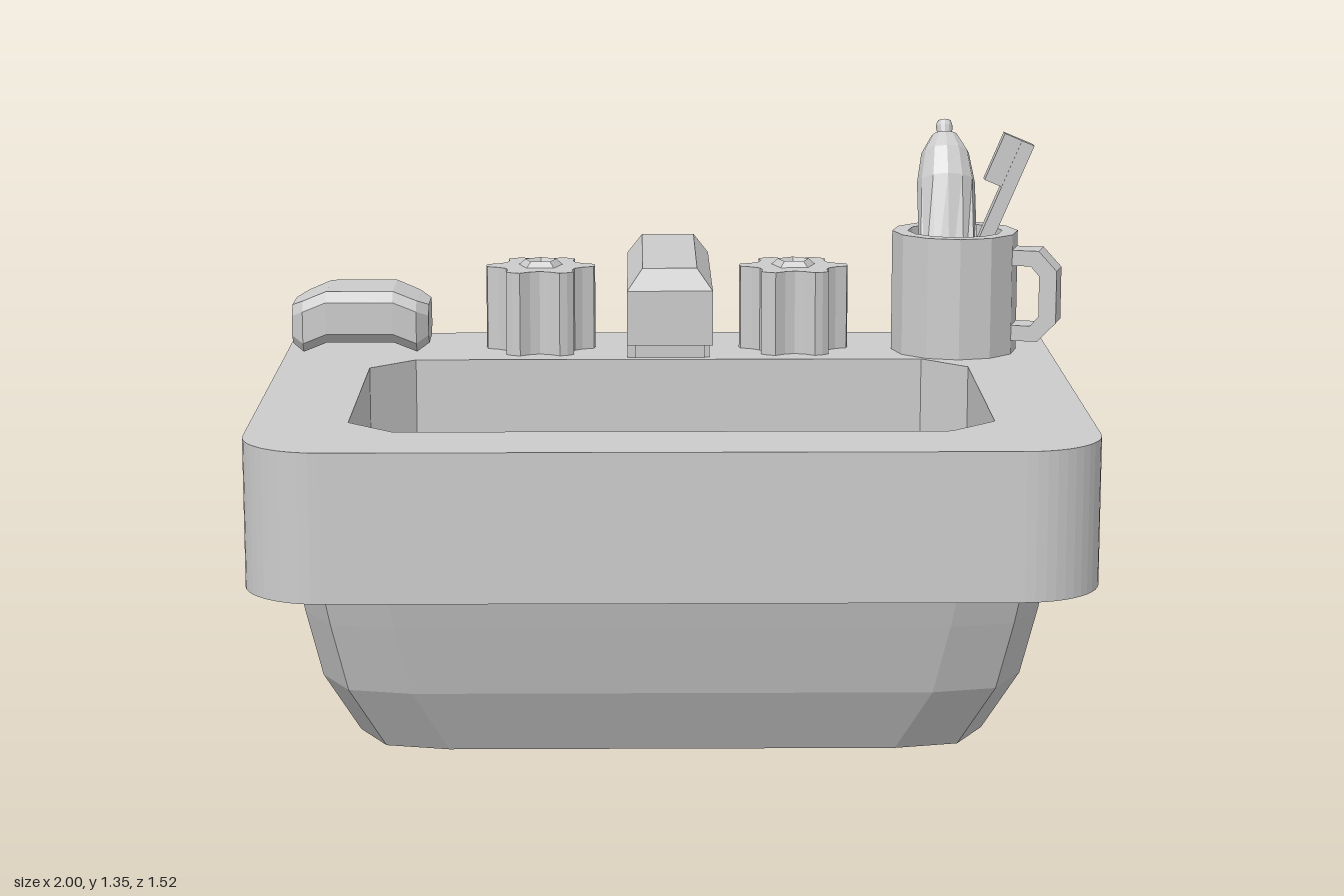
import * as THREE from 'three';
import { ConvexGeometry } from 'three/addons/geometries/ConvexGeometry.js';

const CX = -0.015; // centre line of the sink
const material = new THREE.MeshStandardMaterial({ color: 0xcccccc, flatShading: true, side: THREE.DoubleSide });

function add(parent, name, geometry, x = 0, y = 0, z = 0) {
  const mesh = new THREE.Mesh(geometry, material);
  mesh.name = name;
  mesh.position.set(x, y, z);
  parent.add(mesh);
  return mesh;
}

// Skin a list of equal-length rings of [x, y, z]; caps are fans.
function loft(rings, capStart = true, capEnd = true) {
  const out = [];
  const n = rings[0].length;
  for (let r = 0; r < rings.length - 1; r++) {
    for (let i = 0; i < n; i++) {
      const j = (i + 1) % n;
      const [a, b, c, d] = [rings[r][i], rings[r][j], rings[r + 1][j], rings[r + 1][i]];
      out.push(...a, ...b, ...c, ...a, ...c, ...d);
    }
  }
  const first = rings[0], last = rings[rings.length - 1];
  for (let i = 1; i < n - 1; i++) {
    if (capStart) out.push(...first[0], ...first[i + 1], ...first[i]);
    if (capEnd) out.push(...last[0], ...last[i], ...last[i + 1]);
  }
  const g = new THREE.BufferGeometry();
  g.setAttribute('position', new THREE.Float32BufferAttribute(out, 3));
  g.computeVertexNormals();
  return g;
}

const polygon = (pts) => pts.map(([x, y]) => new THREE.Vector2(x, y));

// Extrude a plan drawn as (x, -z) upward from y = 0.
function extrudeUp(shape, depth, curveSegments = 6) {
  return new THREE.ExtrudeGeometry(shape, { depth, bevelEnabled: false, curveSegments }).rotateX(-Math.PI / 2);
}

// Rectangle with cut corners, plan (x, -z).
const cutRect = (x0, x1, z0, z1, c) => [
  [x0 + c, -z1], [x1 - c, -z1], [x1, -z1 + c], [x1, -z0 - c],
  [x1 - c, -z0], [x0 + c, -z0], [x0, -z0 - c], [x0, -z1 + c]];

function addBasin(root) {
  // Thick rim: square at the back, rounded at the front, with the bowl opening
  const rim = new THREE.Shape();
  const r = 0.19;
  rim.moveTo(-1, 0.76);
  rim.lineTo(-1, -0.76 + r);
  rim.absarc(-1 + r, -0.76 + r, r, Math.PI, 1.5 * Math.PI);
  rim.absarc(0.97 - r, -0.76 + r, r, 1.5 * Math.PI, 2 * Math.PI);
  rim.lineTo(0.97, 0.76);
  rim.closePath();
  const opening = cutRect(-0.77, 0.74, -0.37, 0.53, 0.11);
  rim.holes.push(new THREE.Path(polygon(opening)));
  add(root, 'rim', extrudeUp(rim, 0.35), 0, 0.42, 0);

  // Inside of the bowl, sloping to a flat floor
  const ring = (pts, y) => pts.map(([x, z]) => [x, y, -z]);
  const floor = cutRect(-0.69, 0.655, -0.29, 0.46, 0.015);
  add(root, 'bowlInside', loft([ring(opening, 0.42), ring(opening, 0.28), ring(floor, 0.2)], false, true));

  // Outer bowl: [y, half width, front z]
  const layers = [[0, 0.745, 0.5], [0.16, 0.825, 0.585], [0.33, 0.86, 0.635], [0.42, 0.875, 0.66]];
  add(root, 'bowlOutside', loft(layers.map(([y, w, f]) => {
    const half = [[w, -0.69], [w, f - 0.17], [w - 0.07, f - 0.035], [w - 0.22, f]];
    const mirrored = half.map(([x, z]) => [-x, z]).reverse();
    return [...mirrored, ...half.reverse()].reverse().map(([x, z]) => [x + CX, y, z]).sort((a, b) =>
      Math.atan2(a[0] - CX, a[2]) - Math.atan2(b[0] - CX, b[2]));
  }), true, false));

  // Drain grille with three slanted slots
  const grille = new THREE.Shape(polygon(Array.from({ length: 14 }, (_, i) => {
    const a = (i / 14) * Math.PI * 2;
    return [0.12 * Math.cos(a), 0.12 * Math.sin(a)];
  })));
  [[-0.055, 0.06], [0, 0.095], [0.055, 0.06]].forEach(([off, len]) => {
    const corners = [[-len, off - 0.015], [len, off - 0.015], [len, off + 0.015], [-len, off + 0.015]];
    grille.holes.push(new THREE.Path(polygon(corners).map((p) => p.rotateAround(new THREE.Vector2(), 0.95))));
  });
  add(root, 'drain', extrudeUp(grille, 0.012), -0.015, 0.2, 0.05);
}

function addFaucet(root) {
  const faucet = new THREE.Group();
  faucet.name = 'faucet';
  faucet.position.x = CX;
  root.add(faucet);
  // Spout with chamfered upper edges
  const pts = [];
  for (const s of [-1, 1]) {
    for (const [x, y, z] of [[0.105, 0.87, -0.64], [0.105, 0.87, -0.02], [0.105, 1.005, -0.64],
      [0.105, 1.005, -0.02], [0.067, 1.053, -0.64], [0.067, 1.053, -0.075]]) pts.push(new THREE.Vector3(s * x, y, z));
  }
  add(faucet, 'spout', new ConvexGeometry(pts));
  add(faucet, 'column', new THREE.BoxGeometry(0.21, 0.1, 0.24), 0, 0.82, -0.52);
  add(faucet, 'nozzle', new THREE.BoxGeometry(0.17, 0.04, 0.12), 0, 0.853, -0.11);
}

function addKnob(root, name, x) {
  const knob = new THREE.Group();
  knob.name = name;
  knob.position.set(x, 0.77, -0.55);
  root.add(knob);
  // Six blunt lobes
  const pts = [];
  for (let i = 0; i < 6; i++) {
    for (const [da, r] of [[-0.3, 0.113], [-0.15, 0.139], [0, 0.141], [0.15, 0.139], [0.3, 0.113], [0.52, 0.102]]) {
      const a = (i * Math.PI) / 3 + da;
      pts.push([r * Math.cos(a), r * Math.sin(a)]);
    }
  }
  add(knob, 'knobBody', extrudeUp(new THREE.Shape(polygon(pts)), 0.215));
  // Five-sided raised cap with a shallow dent
  const cap = [[0.065, 0.21], [0.042, 0.23], [0.034, 0.22], [0, 0.22]];
  add(knob, 'knobCap', new THREE.LatheGeometry(polygon(cap), 5)).rotation.y = Math.PI;
}

function addSoap(root) {
  // Bent bar: [x, bottom, top, half depth]
  const stations = [[-0.175, 0.8, 0.9, 0.08], [-0.145, 0.783, 0.915, 0.113], [-0.085, 0.808, 0.94, 0.118]];
  const all = [...stations, ...stations.map(([x, ...rest]) => [-x, ...rest]).reverse()];
  const c = 0.025;
  add(root, 'soap', loft(all.map(([x, b, t, h]) => [
    [x, b, h - c], [x, b + c, h], [x, t - c, h], [x, t, h - c],
    [x, t, c - h], [x, t - c, -h], [x, b + c, -h], [x, b, c - h]]).map((ring) => ring.reverse())), -0.805, 0, -0.505);
}

function addMug(root) {
  const mug = new THREE.Group();
  mug.name = 'mug';
  mug.position.set(0.725, 0.77, -0.515);
  root.add(mug);
  const wall = [[0, 0], [0.162, 0], [0.162, 0.31], [0.122, 0.31], [0.122, 0.04], [0, 0.04]];
  add(mug, 'cup', new THREE.LatheGeometry(polygon(wall), 12));

  // Angular handle
  const outline = new THREE.Shape(polygon([[0.14, 0.035], [0.225, 0.035], [0.272, 0.085], [0.272, 0.22], [0.225, 0.27], [0.14, 0.27]]));
  outline.holes.push(new THREE.Path(polygon([[0.145, 0.075], [0.205, 0.075], [0.227, 0.1], [0.227, 0.205], [0.205, 0.23], [0.145, 0.23]])));
  const handle = new THREE.ExtrudeGeometry(outline, { depth: 0.08, bevelEnabled: false }).translate(0, 0, -0.04);
  add(mug, 'mugHandle', handle).rotation.y = -0.27;

  // Squeeze tube leaning back: [distance below the tip, half width, half depth]
  const tube = [[0.47, 0.075, 0.006], [0.17, 0.075, 0.07], [0.09, 0.062, 0.062], [0.04, 0.034, 0.034],
    [0.038, 0.018, 0.018], [0.015, 0.022, 0.022], [0, 0.018, 0.018]];
  const rings = tube.map(([d, w, h]) => Array.from({ length: 12 }, (_, i) => {
    const a = (i / 12) * Math.PI * 2;
    return [w * Math.sin(a), -d, h * Math.cos(a)];
  }));
  add(mug, 'squeezeTube', loft(rings), -0.02, 0.575, -0.143).rotation.x = -0.5;

  // Brush leaning to the side
  const brush = new THREE.Group();
  brush.name = 'brush';
  brush.position.set(0.165, 0.543, -0.025);
  brush.rotation.z = -0.4;
  mug.add(brush);
  add(brush, 'brushStem', new THREE.BoxGeometry(0.035, 0.5, 0.04), 0.022, -0.25, 0);
  add(brush, 'bristles', new THREE.BoxGeometry(0.05, 0.13, 0.036), -0.018, -0.065, 0);
}

export function createModel() {
  const root = new THREE.Group();
  root.name = 'sink';
  addBasin(root);
  addFaucet(root);
  addKnob(root, 'leftKnob', 0.31);
  addKnob(root, 'rightKnob', -0.345);
  addSoap(root);
  addMug(root);
  return root;
}
